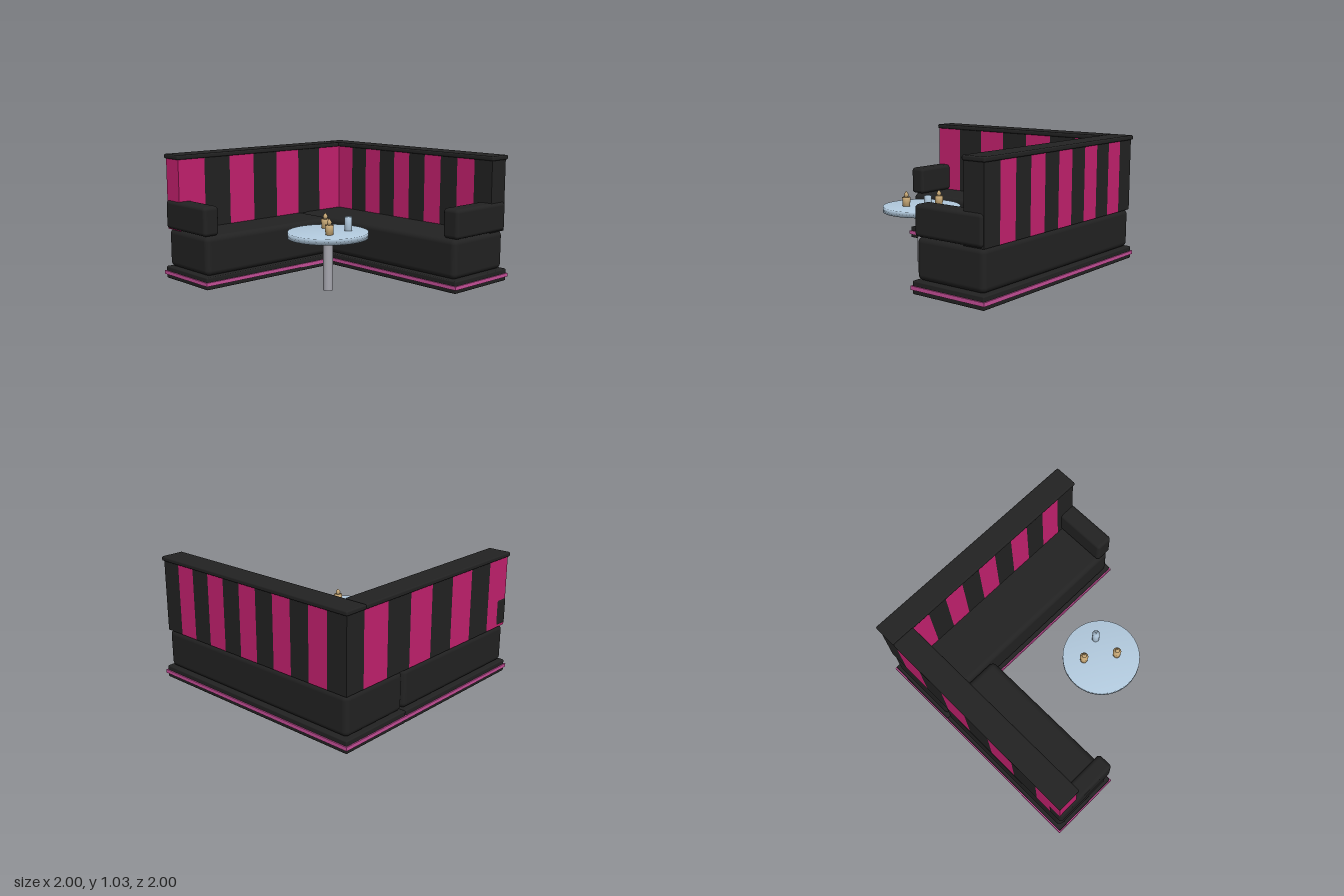
import * as THREE from 'three';
import { RoundedBoxGeometry } from 'three/addons/geometries/RoundedBoxGeometry.js';

const mat = (name, color) => {
  const m = new THREE.MeshStandardMaterial({ color });
  m.name = name;
  return m;
};

export function createModel() {
  const black = mat('black leather', 0x222222);
  const pink = mat('pink panel', 0xc5216f);
  const trim = mat('pink trim', 0xc8509a);
  const glass = mat('pale blue glass', 0xb4cce0);
  const steel = mat('steel', 0xa6a6ae);
  const tan = mat('candle tan', 0xcbab78);

  const root = new THREE.Group();
  root.name = 'cornerBooth';

  const add = (parent, name, geometry, material) => {
    const mesh = new THREE.Mesh(geometry, material);
    mesh.name = name;
    parent.add(mesh);
    return mesh;
  };

  // Box given by its limits on each axis; a radius rounds its edges
  const box = (parent, name, [x0, x1], [y0, y1], [z0, z1], material, radius = 0) => {
    const size = [x1 - x0, y1 - y0, z1 - z0];
    const geometry = radius ? new RoundedBoxGeometry(...size, 4, radius) : new THREE.BoxGeometry(...size);
    const mesh = add(parent, name, geometry, material);
    mesh.position.set((x0 + x1) / 2, (y0 + y1) / 2, (z0 + z1) / 2);
  };

  // Two bench wings: the back one runs along x, the side one along z
  const wings = [
    {
      name: 'backBench',
      base: [[-0.99, 0.99], [-0.99, -0.34]],
      trim: [[-1, 1], [-1, -0.33]],
      seat: [[-0.97, 0.965], [-0.97, -0.355]],
      cap: [[-0.985, 0.98], [-0.985, -0.785]],
      arm: [[0.835, 0.985], [-0.968, -0.355]],
      wall: [[-0.97, 0.966], [-0.97, -0.795]],
      panels: 11, axis: 0, firstPink: 1,
    },
    {
      name: 'sideBench',
      base: [[-0.99, -0.405], [-0.34, 0.99]],
      trim: [[-1, -0.395], [-0.33, 1]],
      seat: [[-0.97, -0.425], [-0.347, 0.97]],
      cap: [[-0.985, -0.785], [-0.785, 0.985]],
      arm: [[-0.975, -0.42], [0.85, 0.99]],
      wall: [[-0.97, -0.795], [-0.795, 0.972]],
      panels: 7, axis: 1, firstPink: 0,
    },
  ];

  for (const w of wings) {
    const bench = new THREE.Group();
    bench.name = w.name;
    root.add(bench);
    const part = (name, [x, z], y, material, radius) => box(bench, name, x, y, z, material, radius);
    part('plinth', w.base, [0, 0.1], black, 0.01);
    part('plinthTrim', w.trim, [0.033, 0.062], trim);
    part('seatCushion', w.seat, [0.1, 0.42], black, 0.045);
    part('armrest', w.arm, [0.42, 0.655], black, 0.03);
    part('backrestCap', w.cap, [0.995, 1.032], black, 0.012);

    // Backrest made of alternating panels
    const [start, end] = w.wall[w.axis];
    const step = (end - start) / w.panels;
    for (let i = 0; i < w.panels; i++) {
      const span = [...w.wall];
      span[w.axis] = [start + i * step, start + (i + 1) * step];
      const isPink = i % 2 === w.firstPink;
      part(isPink ? 'pinkPanel' : 'blackPanel', span, [0.415, 1], isPink ? pink : black);
    }
  }

  // Lathe from [radius, height] pairs listed bottom to top
  const lathe = (parent, name, points, material, sides = 32) =>
    add(parent, name, new THREE.LatheGeometry(points.map(([r, y]) => new THREE.Vector2(r, y)), sides), material);

  // Round table with softly shaded top
  const table = new THREE.Group();
  table.name = 'table';
  table.position.set(0.215, 0, 0.277);
  root.add(table);
  lathe(table, 'tableTop', [[0, 0.42], [0.316, 0.42], [0.316, 0.466], [0, 0.466]], glass, 64);
  add(table, 'tableLeg', new THREE.CylinderGeometry(0.039, 0.039, 0.425, 32), steel).position.y = 0.2125;

  // Drinking glass
  lathe(table, 'drinkingGlass', [[0, 0.466], [0.03, 0.466], [0.03, 0.576], [0, 0.576]], glass)
    .position.set(0.08, 0, -0.142);

  // Candles with pointed flames
  for (const [x, z] of [[-0.12, -0.082], [0.1, 0.078]]) {
    const candle = new THREE.Group();
    candle.name = 'candle';
    candle.position.set(x, 0.466, z);
    table.add(candle);
    lathe(candle, 'candleBody', [[0, 0], [0.03, 0], [0.034, 0.074], [0, 0.074]], tan);
    lathe(candle, 'flame', [[0, 0.07], [0.013, 0.074], [0.02, 0.094], [0.012, 0.11], [0, 0.124]], tan, 16);
  }

  return root;
}
